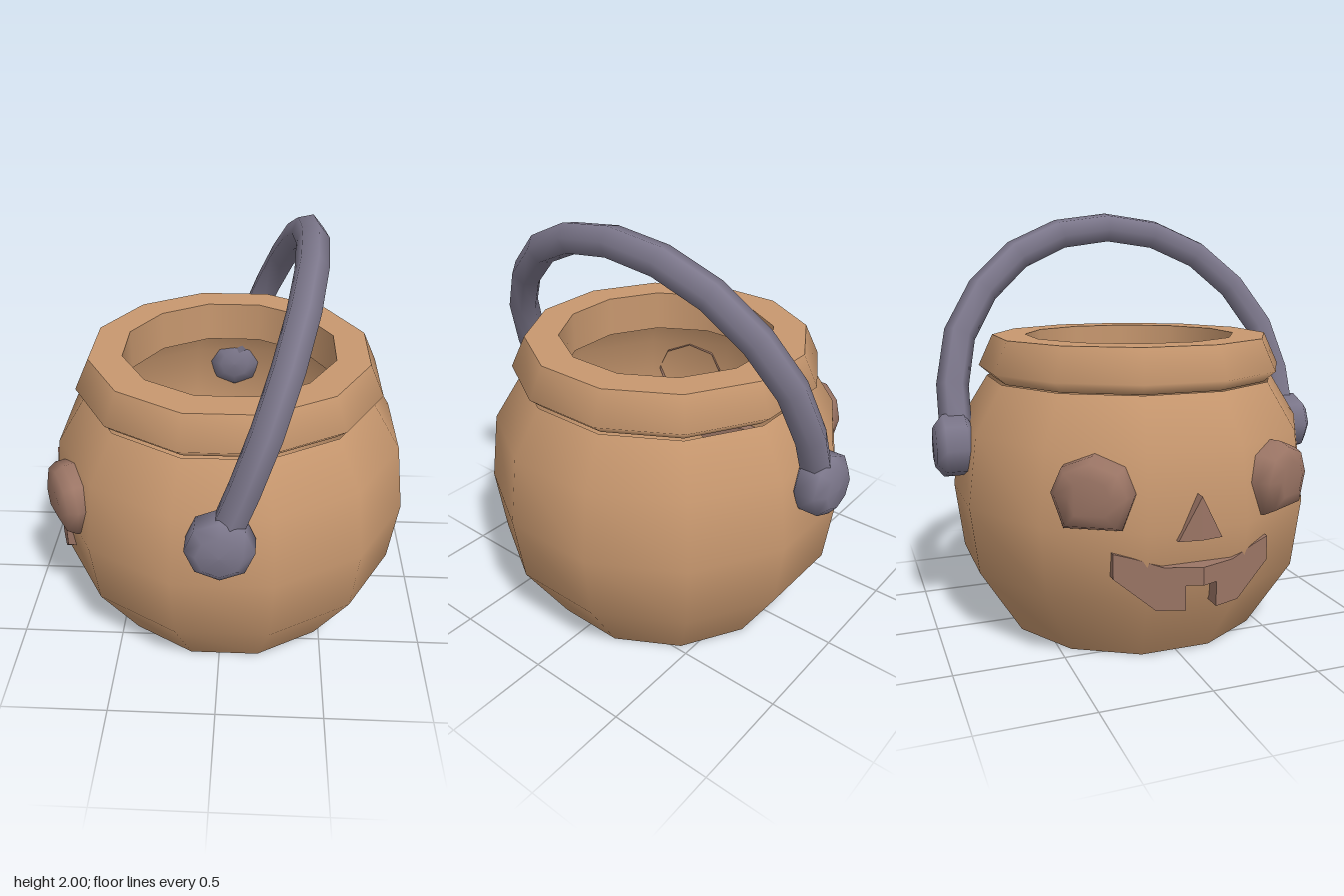
import * as THREE from 'three';

const material = (name, color, side = THREE.FrontSide) => {
  const m = new THREE.MeshStandardMaterial({ color, side });
  m.name = name;
  return m;
};

export function createModel() {
  const group = new THREE.Group();
  const clay = material('tanShell', 0xc8986f, THREE.DoubleSide);
  const metal = material('greyHandle', 0x7c778b);
  const brown = material('brownFace', 0x9b7565, THREE.DoubleSide);
  const CX = 0.025; // axis of the pot
  const add = (geometry, mat, name) => {
    const mesh = new THREE.Mesh(geometry, mat);
    mesh.name = name;
    group.add(mesh);
    return mesh;
  };

  // Twelve-sided turned parts; profiles give the flat-side distance and height
  const turned = (profile, name) => {
    const points = profile.map(([a, y]) => new THREE.Vector2(a / Math.cos(Math.PI / 12), y));
    const mesh = add(new THREE.LatheGeometry(points, 12, Math.PI / 12), clay, name);
    mesh.position.x = CX;
  };
  turned([[0.615, 0], [0.817, 0.33], [0.858, 0.65], [0.817, 0.98], [0.685, 1.2]], 'potBody');
  turned([[0, 0], [0.615, 0]], 'potBottom');
  turned([[0.665, 1.2], [0.722, 1.25], [0.655, 1.4]], 'rimOuter');
  turned([[0.655, 1.4], [0.5, 1.4]], 'rimTop');
  turned([[0.5, 1.4], [0.5, 1.2]], 'rimInner');
  turned([[0.5, 1.2], [0.665, 1.2]], 'rimUnderside');

  // Hexagonal handle swept along an arch, in a plane that leans to +x
  const half = [[0.87, 0.92], [0.867, 1.17], [0.812, 1.405], [0.68, 1.615], [0.49, 1.785], [0.255, 1.89]];
  const path = [...half, [0, 1.925], ...half.map(([z, y]) => [-z, y]).reverse()];
  const lean = Math.PI / 9;
  const positions = [], index = [];
  path.forEach(([z, y], i) => {
    const a = path[Math.max(i - 1, 0)], b = path[Math.min(i + 1, path.length - 1)];
    const out = new THREE.Vector2(b[1] - a[1], -(b[0] - a[0])).normalize(); // (z, y) outward
    for (let k = 0; k < 6; k++) {
      const t = (k * Math.PI) / 3, c = 0.077 * Math.cos(t), s = 0.075 * Math.sin(t);
      const h = (y - 0.9) / Math.cos(lean) + c * out.y;
      positions.push(0.02 + h * Math.sin(lean) + s * Math.cos(lean),
        0.9 + h * Math.cos(lean) - s * Math.sin(lean), z + c * out.x);
      if (i) {
        const p = (i - 1) * 6 + k, q = (i - 1) * 6 + ((k + 1) % 6);
        index.push(p, p + 6, q, q, p + 6, q + 6);
      }
    }
  });
  const arch = new THREE.BufferGeometry();
  arch.setAttribute('position', new THREE.Float32BufferAttribute(positions, 3));
  arch.setIndex(index);
  arch.computeVertexNormals();
  const handleMetal = material('greyHandleBar', 0x7c778b, THREE.DoubleSide);
  add(arch, handleMetal, 'handle');

  // Eight-sided knobs where the handle meets the pot
  const knob = [[0, -0.1], [0.08, -0.095], [0.15, -0.05], [0.15, 0.05], [0.1, 0.09], [0, 0.096]]
    .map(([r, y]) => new THREE.Vector2(r, y));
  for (const s of [1, -1]) {
    const mesh = add(new THREE.LatheGeometry(knob, 8), metal, s > 0 ? 'frontKnob' : 'backKnob');
    mesh.position.set(0.02, 0.9, s * 0.885);
    mesh.rotation.x = (s * Math.PI) / 2;
  }

  // Domed eyes with a flat lower edge, each on a side facet of the pot
  const outline = [[-0.125, -0.15], [0.125, -0.15], [0.178, 0], [0.13, 0.11], [0, 0.16], [-0.13, 0.11], [-0.178, 0]];
  const rings = [[1, -0.06], [1, 0.01], [0.86, 0.052], [0.5, 0.075]];
  for (const s of [1, -1]) {
    const pos = [], idx = [], n = outline.length;
    rings.forEach(([scale, d], r) => outline.forEach(([u, v], k) => {
      pos.push(u * scale, v * scale, d);
      if (r) {
        const p = (r - 1) * n + k, q = (r - 1) * n + ((k + 1) % n);
        idx.push(p, q, p + n, q, q + n, p + n);
      }
    }));
    const top = (rings.length - 1) * n;
    for (let k = 1; k < n - 1; k++) idx.push(top, top + k, top + k + 1);
    const eye = new THREE.BufferGeometry();
    eye.setAttribute('position', new THREE.Float32BufferAttribute(pos, 3));
    eye.setIndex(idx);
    eye.computeVertexNormals();
    const mesh = add(eye, brown, s > 0 ? 'frontEye' : 'backEye');
    const angle = Math.PI / 6;
    mesh.position.set(CX - 0.862 * Math.cos(angle), 0.815, s * 0.862 * Math.sin(angle));
    mesh.rotation.y = -Math.PI / 2 + s * angle;
  }

  // Nose and mouth: mirrored halves folded back from a ridge on z = 0
  const folded = (points, front, slope, depth, name) => {
    for (const s of [1, -1]) {
      const shape = new THREE.Shape(points.map(([u, y]) => new THREE.Vector2(s * u, y)));
      const geometry = new THREE.ExtrudeGeometry(shape, { depth, bevelEnabled: false });
      const p = geometry.attributes.position;
      for (let i = 0; i < p.count; i++) {
        const u = p.getX(i), w = p.getZ(i);
        p.setXYZ(i, front + slope * Math.abs(u) + depth - w, p.getY(i), u);
      }
      geometry.computeVertexNormals();
      add(geometry, brown, name);
    }
  };
  folded([[0, 0.61], [0.1, 0.61], [0, 0.8]], -0.866, 0.15, 0.08, 'nose');
  folded([[0, 0.42], [0.07, 0.42], [0.07, 0.31], [0.19, 0.31], [0.36, 0.45], [0.36, 0.56],
    [0.28, 0.54], [0.16, 0.5], [0, 0.5]], -0.888, 0.33, 0.12, 'mouth');

  return group;
}
